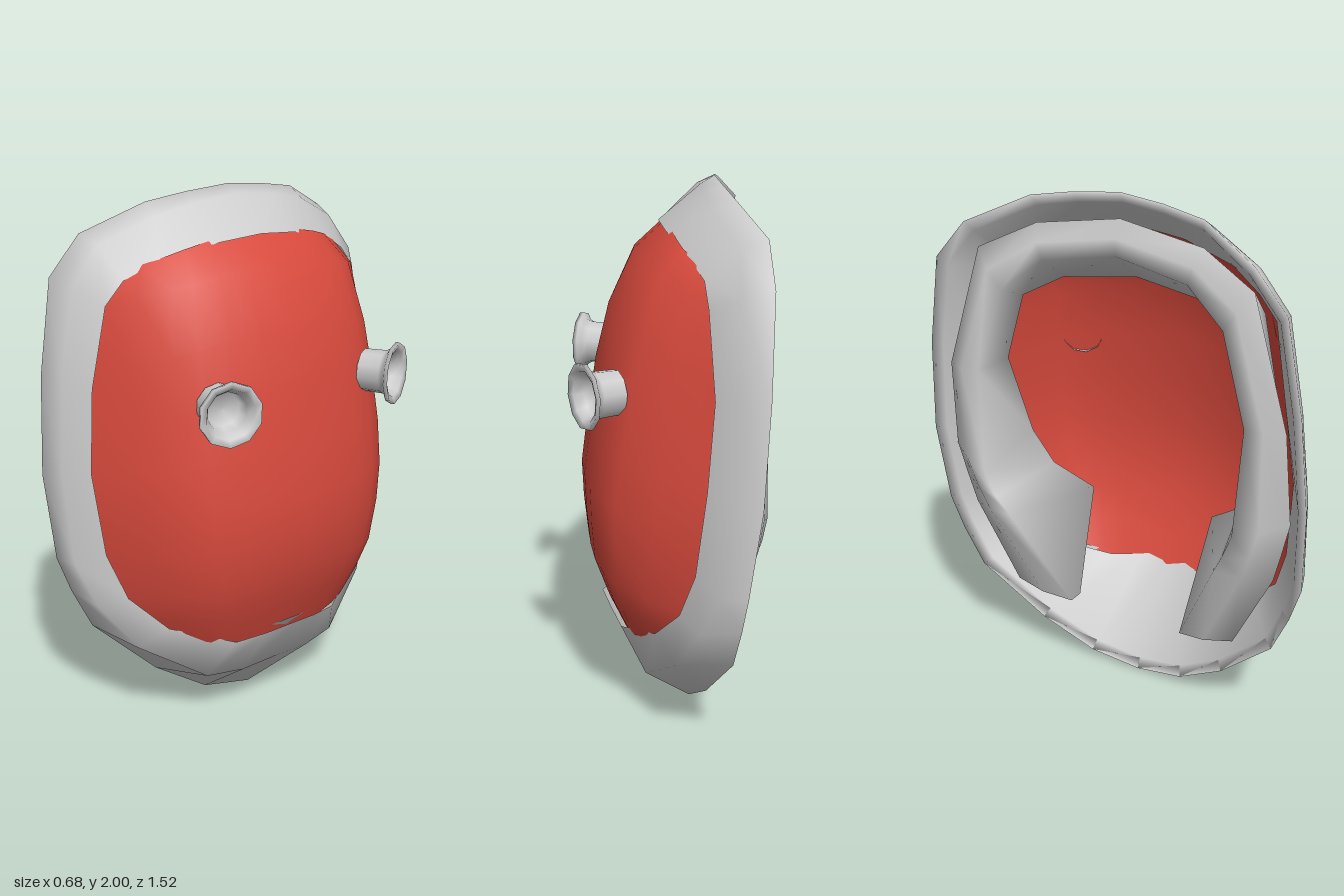
import * as THREE from 'three';
import { mergeVertices } from 'three/addons/utils/BufferGeometryUtils.js';

const grey = new THREE.MeshStandardMaterial({ color: 0xcccccc, side: THREE.DoubleSide });
const red = new THREE.MeshStandardMaterial({ color: 0xd94a3d, side: THREE.DoubleSide });

// Skin a surface over rows of [x, y, z] points, welding seams for smooth normals
function loft(name, rows, material, capEnds = false) {
  const n = rows[0].length, index = [];
  for (let i = 0; i < rows.length - 1; i++) {
    for (let j = 0; j < n - 1; j++) {
      const a = i * n + j, b = a + n;
      index.push(a, b, a + 1, b, b + 1, a + 1);
    }
  }
  if (capEnds) {
    const last = (rows.length - 1) * n;
    for (let j = 1; j < n - 2; j++) {
      index.push(0, j, j + 1, last, last + j + 1, last + j);
    }
  }
  let g = new THREE.BufferGeometry();
  g.setAttribute('position', new THREE.Float32BufferAttribute(rows.flat(2), 3));
  g.setIndex(index);
  g = mergeVertices(g);
  g.computeVertexNormals();
  const mesh = new THREE.Mesh(g, material);
  mesh.name = name;
  return mesh;
}

// Continue half a set of stations (first one on the centre line) across z = 0
const flip = (row) => row.map(([x, y, z]) => [x, y, -z]);
const mirrored = (half) => [...half.slice(1).reverse().map(flip), ...half];
const middle = (a, b, dx) => [(a[0] + b[0]) / 2 + dx, (a[1] + b[1]) / 2, (a[2] + b[2]) / 2];

// Frame stations, top centre to chin: front lip, shoulder, back edge
const frameHalf = [
  [[0.02, 1.845, 0], [-0.13, 1.97, 0], [-0.18, 2, 0]],
  [[0, 1.83, 0.17], [-0.13, 1.955, 0.17], [-0.195, 1.985, 0.17]],
  [[-0.06, 1.785, 0.38], [-0.15, 1.92, 0.33], [-0.22, 1.96, 0.33]],
  [[-0.11, 1.72, 0.5], [-0.22, 1.83, 0.53], [-0.31, 1.86, 0.55]],
  [[-0.12, 1.64, 0.57], [-0.22, 1.69, 0.64], [-0.32, 1.72, 0.67]],
  [[-0.14, 1.35, 0.625], [-0.22, 1.36, 0.7], [-0.31, 1.38, 0.73]],
  [[-0.115, 1.05, 0.66], [-0.2, 1.03, 0.73], [-0.29, 1.02, 0.76]],
  [[-0.08, 0.74, 0.635], [-0.16, 0.7, 0.72], [-0.25, 0.7, 0.745]],
  [[-0.03, 0.57, 0.58], [-0.1, 0.54, 0.67], [-0.235, 0.56, 0.7]],
  [[0.05, 0.44, 0.46], [-0.02, 0.36, 0.55], [-0.215, 0.4, 0.63]],
  [[0.17, 0.36, 0.24], [0.08, 0.2, 0.31], [-0.14, 0.17, 0.4]],
  [[0.205, 0.375, 0.12], [0.11, 0.19, 0.16], [-0.09, 0.04, 0.2]],
  [[0.24, 0.4, 0], [0.12, 0.2, 0], [-0.07, 0, 0]],
];

// Padding stations, top centre to cheek tip: back outer, back inner, front inner, front outer
const padHalf = [
  [[-0.18, 1.91, 0], [-0.22, 1.79, 0], [-0.06, 1.67, 0], [-0.04, 1.8, 0]],
  [[-0.2, 1.86, 0.32], [-0.24, 1.74, 0.28], [-0.1, 1.64, 0.28], [-0.1, 1.76, 0.34]],
  [[-0.26, 1.76, 0.53], [-0.28, 1.62, 0.43], [-0.14, 1.56, 0.43], [-0.14, 1.65, 0.52]],
  [[-0.28, 1.3, 0.67], [-0.31, 1.3, 0.53], [-0.14, 1.3, 0.51], [-0.16, 1.3, 0.6]],
  [[-0.25, 0.95, 0.69], [-0.335, 0.9, 0.51], [-0.07, 0.98, 0.46], [-0.12, 0.95, 0.62]],
  [[-0.24, 0.82, 0.66], [-0.325, 0.8, 0.47], [-0.02, 0.83, 0.4], [-0.09, 0.82, 0.6]],
  [[-0.23, 0.7, 0.63], [-0.3, 0.72, 0.43], [0.05, 0.72, 0.26], [-0.06, 0.7, 0.56]],
  [[-0.2, 0.37, 0.47], [-0.18, 0.32, 0.24], [-0.12, 0.32, 0.235], [-0.08, 0.38, 0.44]],
];

// Visor rows, top to bottom: centre x, centre y, edge x, edge y, edge z
const visorRows = [
  [-0.01, 1.85, -0.15, 1.74, 0.5],
  [0.11, 1.74, -0.145, 1.65, 0.57],
  [0.2, 1.55, -0.16, 1.4, 0.62],
  [0.25, 1.35, -0.155, 1.24, 0.637],
  [0.285, 1.13, -0.14, 1.05, 0.657],
  [0.31, 0.94, -0.12, 0.9, 0.65],
  [0.305, 0.8, -0.1, 0.74, 0.632],
  [0.29, 0.65, -0.05, 0.57, 0.577],
  [0.23, 0.48, 0, 0.49, 0.515],
  [0.165, 0.33, 0.01, 0.41, 0.46],
];

// Cross-section of the visor: share of half width, share of depth
const bulge = [[0, 1], [0.22, 0.97], [0.42, 0.92], [0.58, 0.83], [0.71, 0.71], [0.86, 0.4], [1, 0]];

function visorRow([cx, cy, ex, ey, ez]) {
  const side = bulge.map(([u, f]) => [ex + (cx - ex) * f, cy + (ey - cy) * u ** 2.2, ez * u]);
  return [...flip(side.slice(1).reverse()), ...side];
}

// Flared hollow stud standing on the visor
function stud(name, x, z, yaw) {
  const profile = [[0.08, 0], [0.082, 0.085], [0.092, 0.105], [0.117, 0.118], [0.115, 0.133],
    [0.09, 0.124], [0.073, 0.09], [0.062, 0.05], [0, 0.045]].map(([r, h]) => new THREE.Vector2(r, h));
  const mesh = new THREE.Mesh(new THREE.LatheGeometry(profile, 10), grey);
  mesh.name = name;
  mesh.position.set(x, 1.315, z);
  mesh.quaternion.setFromUnitVectors(new THREE.Vector3(0, 1, 0),
    new THREE.Vector3(Math.cos(yaw), 0, Math.sin(yaw)));
  return mesh;
}

export function createModel() {
  const group = new THREE.Group();
  group.name = 'faceMask';

  // Frame shell, rolled over its back edge into an inner wall
  const frame = mirrored(frameHalf).map(([f, m, o]) => [
    f, m, o,
    [o[0] + 0.02, 1 + (o[1] - 1) * 0.96, o[2] * 0.95],
    [f[0] - 0.03, 1 + (f[1] - 1) * 0.99, f[2] * 0.99],
  ]);
  group.add(loft('frame', frame, grey));

  // Curved red visor
  group.add(loft('visor', visorRows.map(visorRow), red));

  // Rounded padding round the opening, ending in two cheek tips
  const pad = mirrored(padHalf).map(([bo, bi, fi, fo]) =>
    [bo, middle(bo, bi, -0.02), bi, fi, fo, bo]);
  group.add(loft('innerPadding', pad, grey, true));

  // Pair of studs, the right-hand one splayed further out
  group.add(stud('studLeft', 0.185, 0.325, 0.27));
  group.add(stud('studRight', 0.175, -0.37, -0.46));
  return group;
}
